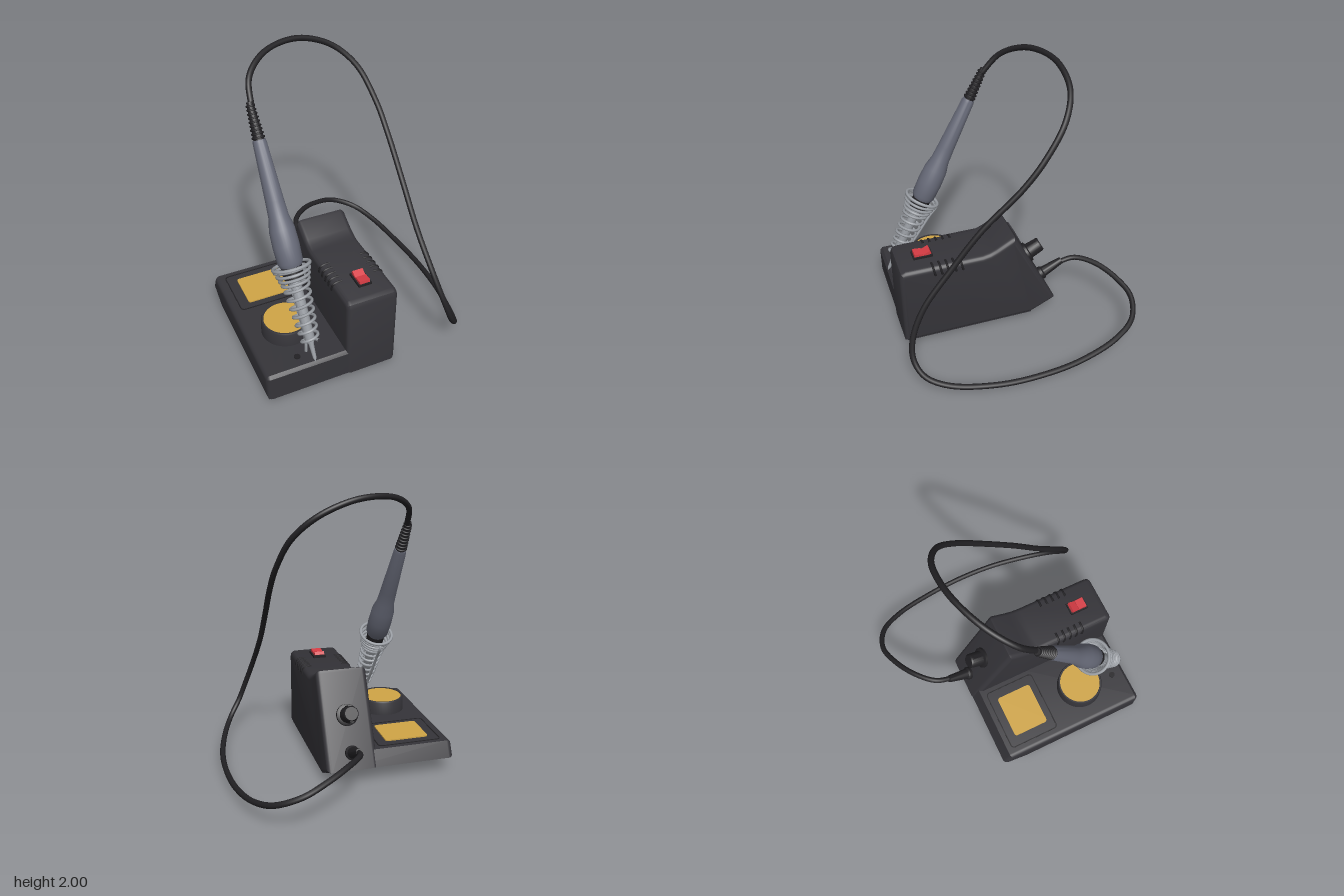
import * as THREE from 'three';
import { toCreasedNormals } from 'three/addons/utils/BufferGeometryUtils.js';

const mat = (name, color) => {
  const m = new THREE.MeshStandardMaterial({ color });
  m.name = name;
  return m;
};
const V = (x, y, z) => new THREE.Vector3(x, y, z);
const lathe = (pts, seg = 32) => toCreasedNormals(
  new THREE.LatheGeometry(pts.map(([r, y]) => new THREE.Vector2(r, y)), seg), 0.6);
const curve = (pts) => new THREE.CatmullRomCurve3(pts.map((p) => V(...p)));

// Side profile of [z, y] points, extruded from x0 to x1 with rounded rims
function sideExtrude(profile, x0, x1, bevel) {
  const shape = new THREE.Shape(profile.map(([z, y]) => new THREE.Vector2(-z, y)));
  const g = new THREE.ExtrudeGeometry(shape, {
    depth: x1 - x0 - 2 * bevel, bevelEnabled: true, bevelSize: bevel,
    bevelThickness: bevel, bevelOffset: -bevel, bevelSegments: 5,
  });
  g.rotateY(Math.PI / 2).translate(x0 + bevel, 0, 0);
  return toCreasedNormals(g, 0.5);
}

function roundRect(w, h, r, Type = THREE.Shape) {
  const s = new Type(), a = w / 2 - r, b = h / 2 - r;
  s.absarc(a, b, r, 0, Math.PI / 2);
  s.absarc(-a, b, r, Math.PI / 2, Math.PI);
  s.absarc(-a, -b, r, Math.PI, Math.PI * 1.5);
  s.absarc(a, -b, r, Math.PI * 1.5, Math.PI * 2);
  s.closePath();
  return s;
}
const plate = (shape, depth) => new THREE.ExtrudeGeometry(shape, { depth, bevelEnabled: false, curveSegments: 6 })
  .rotateX(-Math.PI / 2);

export function createModel() {
  const root = new THREE.Group();
  root.name = 'solderingStation';
  const black = mat('black housing', 0x353439);
  const dark = mat('dark rubber', 0x222124);
  const grey = mat('grey grip', 0x666977);
  const steel = mat('steel', 0x9a9ea4);
  const yellow = mat('yellow sponge', 0xd0a546);
  const red = mat('red switch', 0xd63c44);

  const add = (name, geo, material, x = 0, y = 0, z = 0, parent = root) => {
    const m = new THREE.Mesh(geo, material);
    m.name = name;
    m.position.set(x, y, z);
    parent.add(m);
    return m;
  };
  // Group whose local +y runs along a direction
  const along = (name, origin, dir) => {
    const g = new THREE.Group();
    g.name = name;
    g.position.copy(origin);
    g.quaternion.setFromUnitVectors(V(0, 1, 0), dir.clone().normalize());
    root.add(g);
    return g;
  };

  // Housing: low tray, tall power unit and underside
  add('tray', sideExtrude([[0.79, 0.03], [0.79, 0.21], [0.77, 0.23], [-0.3, 0.23], [-0.355, 0.12], [-0.17, 0.03]],
    -0.8, 0.12, 0.035), black);
  add('powerUnit', sideExtrude([[0.797, 0.03], [0.797, 0.6], [0.785, 0.63], [0.755, 0.645], [0.2, 0.645],
    [0.15, 0.655], [0.1, 0.677], [-0.02, 0.745], [-0.04, 0.75], [-0.05, 0.735], [-0.36, 0.12], [-0.17, 0.03]],
  -0.235, 0.132, 0.035), black);
  add('underside', new THREE.BoxGeometry(0.91, 0.05, 0.95), black, -0.335, 0.055, 0.305);
  for (const x of [-0.68, 0.01]) for (const z of [0.66, -0.04]) {
    add('foot', new THREE.CylinderGeometry(0.045, 0.04, 0.035, 20), dark, x, 0.0175, z);
  }

  // Ventilation slots wrapping over both upper edges
  for (const s of [-1, 1]) for (let i = 0; i < 5; i++) {
    const path = curve([[0.115, 0.644, 0], [0.15, 0.643, 0], [0.174, 0.633, 0], [0.182, 0.61, -0.005], [0.182, 0.58, -0.012]]
      .map(([x, y, z]) => [-0.052 + s * x, y, 0.36 + i * 0.05 + z]));
    add('ventSlot', new THREE.TubeGeometry(path, 12, 0.009, 6), dark);
  }

  // Rocker switch
  add('switchFrame', new THREE.BoxGeometry(0.095, 0.02, 0.14), dark, -0.048, 0.65, 0.6);
  for (const s of [-1, 1]) {
    const half = add('switchRocker', new THREE.BoxGeometry(0.075, 0.025, 0.062), red, -0.048, 0.666, 0.6 + s * 0.029);
    half.rotation.x = s > 0 ? -0.1 : 0.42;
  }

  // Flat sponge pad with its groove
  const groove = roundRect(0.47, 0.39, 0.03);
  groove.holes.push(roundRect(0.455, 0.375, 0.024, THREE.Path));
  add('padGroove', plate(groove, 0.004), dark, -0.5, 0.229, -0.07);
  add('flatSponge', plate(roundRect(0.32, 0.27, 0.02), 0.01), yellow, -0.5, 0.229, -0.065);

  // Round sponge cup
  add('spongeCup', lathe([[0.17, 0.22], [0.167, 0.325], [0.162, 0.335], [0.152, 0.335], [0.15, 0.31]], 48),
    black, -0.517, 0, 0.415);
  add('roundSponge', new THREE.CylinderGeometry(0.151, 0.151, 0.1, 48), yellow, -0.517, 0.28, 0.415);

  // Control knob on the sloping back
  const back = V(0, 0.45, -0.89);
  const knob = along('knob', V(-0.052, 0.46, -0.183), back);
  add('knobSkirt', lathe([[0.078, -0.01], [0.076, 0.022], [0.058, 0.03], [0, 0.03]]), dark, 0, 0, 0, knob);
  add('knobGrip', lathe([[0.058, 0.02], [0.053, 0.12], [0.046, 0.13], [0, 0.13]], 20), dark, 0, 0, 0, knob);
  add('knobPointer', new THREE.BoxGeometry(0.022, 0.09, 0.12), dark, 0, 0.065, 0, knob);

  // Cable sleeve on the back
  const sleeve = along('cableSleeve', V(-0.055, 0.215, -0.28), V(0, 0.1, -0.2));
  add('sleeveCone', lathe([[0.05, 0], [0.05, 0.05], [0.04, 0.06], [0.026, 0.22], [0, 0.22]], 24), dark, 0, 0, 0, sleeve);

  // Cable from the iron, round the side, to the back
  const cable = curve([[-0.525, 1.72, 0], [-0.49, 1.87, -0.13], [-0.36, 1.955, -0.25], [-0.18, 1.98, -0.335],
    [0, 1.957, -0.375], [0.2, 1.87, -0.365], [0.34, 1.73, -0.28], [0.41, 1.52, -0.12], [0.425, 1.35, 0.03],
    [0.415, 1.1, 0.29], [0.42, 0.85, 0.5], [0.45, 0.58, 0.72], [0.5, 0.38, 0.815], [0.55, 0.25, 0.825],
    [0.62, 0.15, 0.77], [0.69, 0.085, 0.62], [0.76, 0.055, 0.3], [0.775, 0.055, 0], [0.75, 0.07, -0.3],
    [0.68, 0.12, -0.6], [0.58, 0.175, -0.77], [0.42, 0.24, -0.835], [0.25, 0.295, -0.79], [0.08, 0.335, -0.69],
    [-0.03, 0.335, -0.57], [-0.055, 0.3, -0.45]]);
  add('cable', new THREE.TubeGeometry(cable, 220, 0.02, 10), dark);

  // Soldering iron, built from its tip upwards
  const iron = along('iron', V(-0.46, 0.24, 0.79), V(-0.07, 1.51, -0.81));
  add('tip', lathe([[0, 0], [0.012, 0.03], [0.018, 0.13], [0.034, 0.16], [0.036, 0.6], [0, 0.6]], 20), steel, 0, 0, 0, iron);
  add('collar', lathe([[0, 0.58], [0.065, 0.58], [0.07, 0.68]]), dark, 0, 0, 0, iron);
  add('handle', lathe([[0, 0.66], [0.07, 0.66], [0.084, 0.69], [0.088, 0.8], [0.084, 0.91], [0.066, 0.99],
    [0.06, 1.1], [0.045, 1.47], [0.04, 1.49], [0, 1.49]]), grey, 0, 0, 0, iron);
  add('strainRelief', lathe([[0.036, 1.48], [0.021, 1.73], [0, 1.73]], 20), dark, 0, 0, 0, iron);
  for (let i = 0; i < 9; i++) {
    add('reliefRing', new THREE.TorusGeometry(0.037 - i * 0.0016, 0.007, 6, 20).rotateX(Math.PI / 2),
      dark, 0, 1.505 + i * 0.025, 0, iron);
  }

  // Coiled holder: wide funnel above, narrow spring below
  const coil = [];
  const turns = 11, steps = 13;
  for (let i = 0; i <= turns * steps; i++) {
    const n = i / steps, a = n * Math.PI * 2;
    const f = Math.min(n / 4, 1), k = Math.max((n - 4) / 7, 0);
    const r = 0.122 - 0.037 * f - 0.03 * k, y = 0.66 - 0.13 * f - 0.4 * k;
    coil.push([r * Math.cos(a), y, r * Math.sin(a)]);
  }
  add('holderSpring', new THREE.TubeGeometry(curve(coil), 330, 0.0105, 6), steel, 0, 0, 0, iron);
  add('holderRim', new THREE.TorusGeometry(0.122, 0.0115, 8, 40).rotateX(Math.PI / 2), steel, 0, 0.66, 0, iron);

  // Wire leg carrying the holder
  const leg = curve([[-0.485, 0.765, 0.385], [-0.484, 0.73, 0.372], [-0.482, 0.65, 0.435], [-0.478, 0.48, 0.555],
    [-0.475, 0.36, 0.645], [-0.475, 0.3, 0.665], [-0.475, 0.22, 0.665]]);
  add('holderLeg', new THREE.TubeGeometry(leg, 40, 0.0105, 8), steel);
  add('holderSocket', new THREE.CylinderGeometry(0.022, 0.022, 0.012, 16), dark, -0.55, 0.23, 0.69);
  return root;
}
